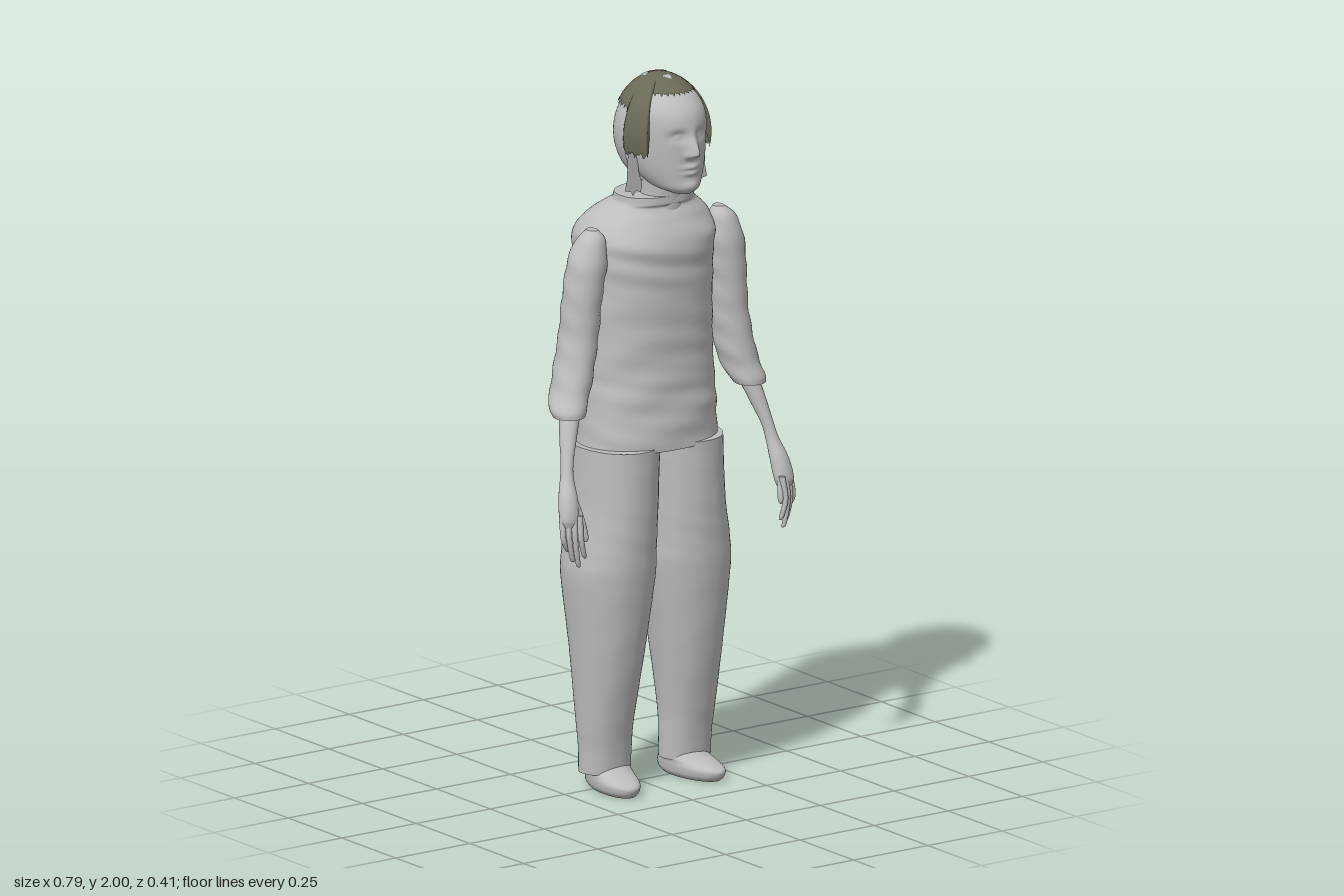
import * as THREE from 'three';

const grey = new THREE.MeshStandardMaterial({ color: 0xbdbdbd, side: THREE.DoubleSide });
grey.name = 'plain grey';
const olive = new THREE.MeshStandardMaterial({ color: 0x6b6a58, side: THREE.DoubleSide });
olive.name = 'olive hair';

// Smooth skin through horizontal oval rings [y, cx, cz, rx, rz], listed from bottom to top.
// rule(v, angle, t) may move each vertex.
function loft(rings, { seg = 32, rows = 24, power = 2, rule } = {}) {
  const centres = new THREE.CatmullRomCurve3(rings.map(r => new THREE.Vector3(r[1], r[0], r[2])), false, 'catmullrom', 0.5);
  const radii = new THREE.CatmullRomCurve3(rings.map(r => new THREE.Vector3(r[3], 0, r[4])), false, 'catmullrom', 0.5);
  const pos = [], index = [];
  const round = n => Math.sign(n) * Math.abs(n) ** (2 / power);
  for (let i = 0; i <= rows; i++) {
    const t = i / rows, c = centres.getPoint(t), r = radii.getPoint(t);
    for (let j = 0; j < seg; j++) {
      const a = j / seg * Math.PI * 2;
      const v = new THREE.Vector3(c.x + r.x * round(Math.sin(a)), c.y, c.z + r.z * round(Math.cos(a)));
      if (rule) rule(v, a, t);
      pos.push(v.x, v.y, v.z);
      if (i < rows) {
        const p = i * seg + j, q = i * seg + (j + 1) % seg;
        index.push(p, q, q + seg, p, q + seg, p + seg);
      }
    }
  }
  // end caps with their own vertices, so the rims stay sharp
  for (const [row, c, flip] of [[0, centres.getPoint(0), true], [rows, centres.getPoint(1), false]]) {
    const base = pos.length / 3;
    pos.push(...pos.slice(row * seg * 3, (row + 1) * seg * 3), c.x, c.y, c.z);
    for (let j = 0; j < seg; j++) {
      const p = base + j, q = base + (j + 1) % seg;
      index.push(base + seg, flip ? q : p, flip ? p : q);
    }
  }
  return surface(pos, index);
}

function surface(pos, index) {
  const g = new THREE.BufferGeometry();
  g.setAttribute('position', new THREE.Float32BufferAttribute(pos, 3));
  g.setIndex(index);
  g.computeVertexNormals();
  return g;
}

// Cloth folds: shallow, mostly horizontal waves
const folds = (amount, cx, cz) => (v, a) => {
  const k = 1 + amount * (Math.sin(v.y * 62 + 2.2 * Math.sin(a * 2 + v.y * 9)) + 0.6 * Math.sin(v.y * 105 + a * 3));
  v.x = cx + (v.x - cx) * (1 + (k - 1) * 0.4);
  v.z = cz + (v.z - cz) * k;
};

// Scalp ellipsoid shared by the hair and its bare patches
const HX = 0.062, HY = 1.835, HZ = 0.01;
const scalp = { rx: 0.13, ry: 0.165, front: 0.17, back: 0.13 };

function hairGeometry() {
  const seg = 180, rows = 20, pos = [], index = [];
  for (let j = 0; j <= seg; j++) {
    const a = (j / seg * 2 - 1) * Math.PI, d = Math.abs(a) * 180 / Math.PI;
    const rag = 0.006 * Math.sin(j * 2.3) + 0.005 * Math.sin(j * 5.1);
    const hem = (d < 55 ? 1.962 : d < 87 ? 1.795 : 1.92) + rag * (d < 55 ? 0.5 : 1);
    const end = Math.acos((hem - HY) / scalp.ry);
    const depth = d < 90 ? scalp.front : scalp.back;
    for (let i = 0; i <= rows; i++) {
      const th = end * i / rows;
      pos.push(HX + scalp.rx * Math.sin(a) * Math.sin(th), HY + scalp.ry * Math.cos(th), HZ + depth * Math.cos(a) * Math.sin(th));
      if (i < rows && j < seg) {
        const p = j * (rows + 1) + i, q = p + rows + 1;
        index.push(p, p + 1, q + 1, p, q + 1, q);
      }
    }
  }
  return surface(pos, index);
}

// Lays a flat shape on the crown
function onScalp(geometry, z) {
  geometry.rotateX(-Math.PI / 2).translate(HX, 0, z);
  const p = geometry.attributes.position;
  for (let i = 0; i < p.count; i++) {
    const dz = p.getZ(i) - HZ, depth = dz > 0 ? scalp.front : scalp.back;
    const s = ((p.getX(i) - HX) / scalp.rx) ** 2 + (dz / depth) ** 2;
    p.setY(i, HY + scalp.ry * Math.sqrt(Math.max(0, 1 - s)) + 0.002);
  }
  geometry.computeVertexNormals();
  return geometry;
}

// Nose, eye sockets, lips and chin pushed out of the front of the head
function faceRule(v, a) {
  const front = Math.max(0, Math.cos(a));
  if (front === 0) return;
  const x = v.x - HX, y = v.y;
  const bump = (bx, by, sx, sy) => Math.exp(-(((x - bx) / sx) ** 2) - ((y - by) / sy) ** 2);
  let dz = 0.034 * bump(0, 1.805, 0.016, y < 1.805 ? 0.013 : 0.04);
  for (const s of [-1, 1]) {
    dz += -0.014 * bump(s * 0.038, 1.852, 0.022, 0.014) + 0.007 * bump(s * 0.038, 1.85, 0.012, 0.007);
    dz += 0.008 * bump(s * 0.015, 1.798, 0.008, 0.008);
  }
  dz += 0.008 * bump(0, 1.764, 0.026, 0.007) + 0.008 * bump(0, 1.747, 0.022, 0.007);
  dz += 0.006 * bump(0, 1.71, 0.025, 0.014);
  v.z += dz * front;
}

export function createModel() {
  const model = new THREE.Group();
  const add = (name, geometry, material = grey, parent = model) => {
    const mesh = new THREE.Mesh(geometry, material);
    mesh.name = name;
    parent.add(mesh);
    return mesh;
  };

  // Shirt body with its collar
  add('torso', loft([
    [0.965, 0.027, 0, 0.206, 0.148], [1.1, 0.033, -0.01, 0.2, 0.148], [1.2, 0.035, -0.02, 0.196, 0.15],
    [1.4, 0.037, -0.028, 0.194, 0.158], [1.5, 0.04, -0.033, 0.199, 0.164], [1.55, 0.043, -0.036, 0.2, 0.163],
    [1.6, 0.05, -0.035, 0.175, 0.132], [1.632, 0.056, -0.025, 0.136, 0.1], [1.645, 0.057, -0.012, 0.118, 0.093],
    [1.665, 0.057, -0.008, 0.113, 0.09],
  ], { seg: 64, rows: 100, power: 2.25, rule: folds(0.012, 0.035, -0.02) }));

  // Head: neck, face, back shell, hair, side locks
  const head = new THREE.Group();
  head.name = 'head';
  model.add(head);
  add('neck', loft([[1.6, 0.06, 0.015, 0.066, 0.066], [1.67, 0.062, 0.022, 0.06, 0.06], [1.75, 0.062, 0.03, 0.062, 0.064]]), grey, head);
  add('face', loft([
    [1.684, HX, 0.1, 0.028, 0.045], [1.7, HX, 0.08, 0.06, 0.082], [1.73, HX, 0.055, 0.083, 0.107],
    [1.77, HX, 0.042, 0.097, 0.12], [1.82, HX, 0.036, 0.104, 0.127], [1.88, HX, 0.034, 0.106, 0.13],
    [1.92, HX, 0.03, 0.1, 0.12], [1.955, HX, 0.022, 0.08, 0.09], [1.978, HX, 0.01, 0.045, 0.05], [1.985, HX, 0.01, 0.01, 0.01],
  ], { seg: 112, rows: 110, rule: faceRule }), grey, head);
  const shell = add('backOfHead', new THREE.SphereGeometry(1, 40, 32, Math.PI, Math.PI), grey, head);
  shell.scale.set(0.127, 0.15, 0.14);
  shell.position.set(HX, HY, 0.02);
  add('hair', hairGeometry(), olive, head);
  add('crownPatch', onScalp(new THREE.RingGeometry(0.022, 0.039, 24, 3, -0.2, Math.PI + 0.4), -0.008), grey, head);
  add('crownChip', onScalp(new THREE.CircleGeometry(0.018, 3, -Math.PI / 2), 0.05), grey, head);
  for (const s of [-1, 1]) {
    const lock = new THREE.Shape([[0.1, 1.8], [0.128, 1.8], [0.132, 1.72], [0.138, 1.69], [0.118, 1.685], [0.112, 1.673],
      [0.1, 1.685], [0.085, 1.68], [0.08, 1.7], [0.092, 1.74]].map(([x, y]) => new THREE.Vector2(HX + s * x, y)));
    add(s > 0 ? 'leftLock' : 'rightLock', new THREE.ShapeGeometry(lock), grey, head).position.z = 0.042;
  }

  for (const s of [-1, 1]) {
    const side = s > 0 ? 'left' : 'right';
    // Arms hang at slightly different slants
    const ax = x => s > 0 ? 0.262 + (x - 0.16) * 0.56 : -x;
    const armRings = rings => rings.map(([y, x, z, rx, rz]) => [y, ax(x), z, rx, rz]);
    const arm = new THREE.Group();
    arm.name = side + 'Arm';
    model.add(arm);
    add(side + 'Sleeve', loft(armRings([
      [1.09, 0.28, 0.06, 0.044, 0.047], [1.11, 0.275, 0.05, 0.05, 0.055], [1.15, 0.255, 0.032, 0.053, 0.06],
      [1.2, 0.237, 0.022, 0.053, 0.063], [1.3, 0.213, 0.014, 0.053, 0.06], [1.4, 0.202, 0.015, 0.054, 0.058],
      [1.5, 0.185, 0.015, 0.055, 0.056], [1.56, 0.172, 0.013, 0.04, 0.042], [1.59, 0.163, 0.01, 0.015, 0.02],
    ]), { rows: 50, rule: (v, a) => { v.x += 0.002 * Math.sin(v.y * 80 + a * 2); } }), grey, arm);
    add(side + 'ForearmAndPalm', loft(armRings([
      [0.815, 0.352, 0.168, 0.024, 0.018], [0.84, 0.352, 0.164, 0.03, 0.024], [0.89, 0.345, 0.148, 0.027, 0.025],
      [0.94, 0.333, 0.126, 0.018, 0.02], [0.98, 0.322, 0.112, 0.017, 0.019], [1.04, 0.3, 0.086, 0.023, 0.026],
      [1.12, 0.268, 0.052, 0.03, 0.034],
    ]), { seg: 20, rows: 30 }), grey, arm);
    for (let f = 0; f < 4; f++) {
      const x = ax(0.352) + s * (0.022 - f * 0.014), z = 0.162 + f * 0.008, tip = [0.745, 0.715, 0.7, 0.725][f];
      add(side + 'Finger' + (f + 1), loft([
        [tip, x - s * 0.012, z + 0.006, 0.003, 0.003], [tip + 0.012, x - s * 0.007, z + 0.008, 0.007, 0.007],
        [0.785, x + s * 0.004, z + 0.01, 0.008, 0.008], [0.845, x, z - 0.002, 0.009, 0.01],
      ], { seg: 10, rows: 12 }), grey, arm);
    }
    const tx = ax(0.33);
    add(side + 'Thumb', loft([
      [0.77, tx - s * 0.014, 0.19, 0.004, 0.004], [0.785, tx - s * 0.014, 0.188, 0.009, 0.009],
      [0.83, tx - s * 0.008, 0.178, 0.01, 0.01], [0.88, tx, 0.155, 0.012, 0.013],
    ], { seg: 10, rows: 12 }), grey, arm);

    // Trouser legs, each a full tube meeting at the middle
    const lx = x => 0.02 + s * x;
    add(side + 'TrouserLeg', loft([
      [0.05, lx(0.135), 0, 0.075, 0.06], [0.12, lx(0.135), 0.002, 0.076, 0.064], [0.2, lx(0.137), 0.004, 0.081, 0.075],
      [0.4, lx(0.132), 0.008, 0.1, 0.107], [0.6, lx(0.127), 0.005, 0.123, 0.134], [0.68, lx(0.123), 0.005, 0.121, 0.138],
      [0.8, lx(0.113), 0.003, 0.113, 0.144], [0.975, lx(0.106), 0.002, 0.111, 0.147],
    ], { seg: 48, rows: 60, power: 2.15, rule: folds(0.003, lx(0.12), 0) }));

    // Shoes, toes turned slightly outward
    const shoe = add(side + 'Shoe', loft([
      [0, 0, 0.035, 0.046, 0.104], [0.012, 0, 0.035, 0.055, 0.117], [0.03, 0, 0.035, 0.058, 0.12],
      [0.042, 0, 0.025, 0.058, 0.105], [0.055, 0, 0.008, 0.06, 0.078], [0.075, 0, 0, 0.056, 0.052],
    ], { seg: 40, rows: 24 }));
    shoe.position.x = lx(0.128);
    shoe.rotation.y = s * 0.14;
  }
  return model;
}
